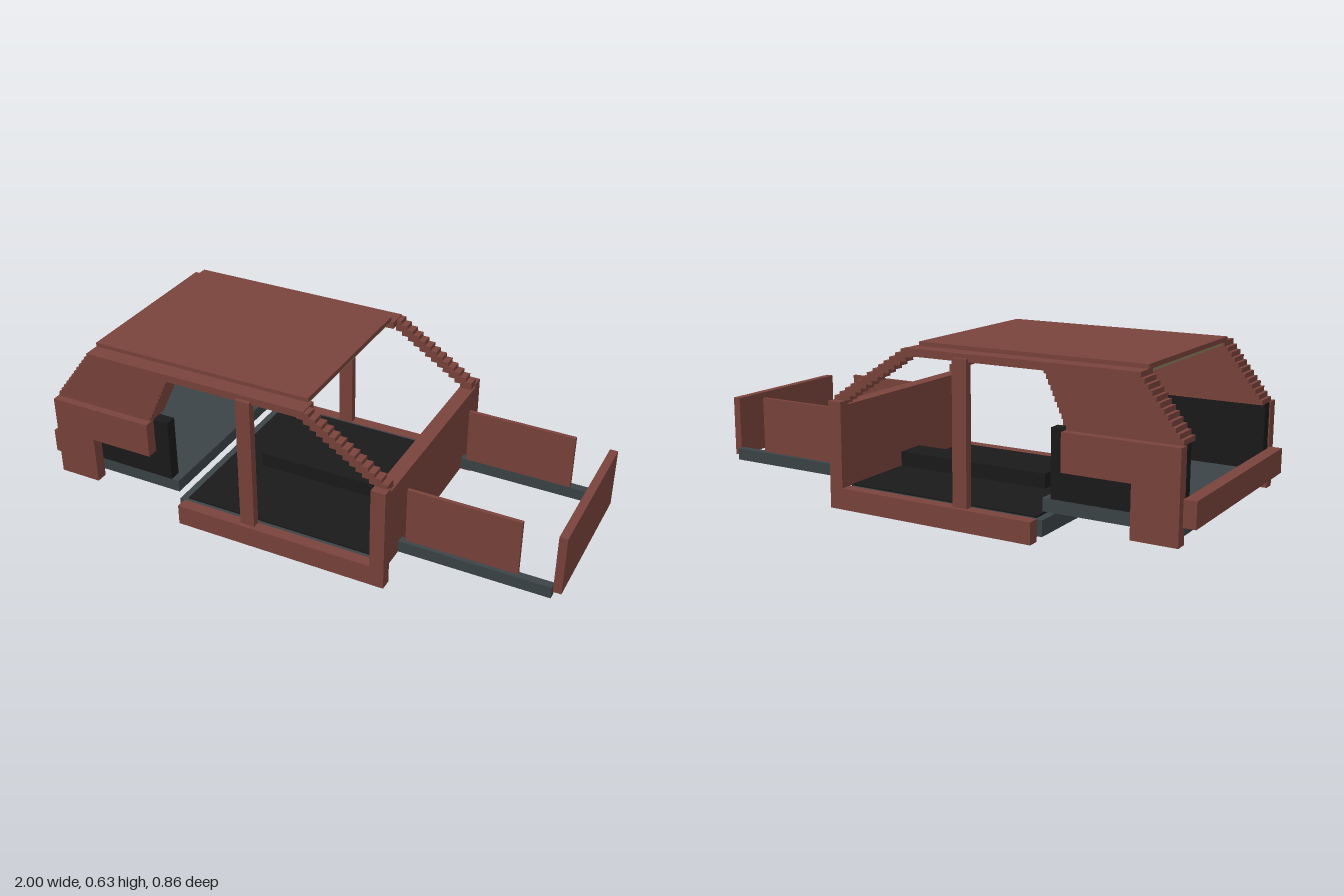
import * as THREE from 'three';

const mat = (color) => new THREE.MeshStandardMaterial({ color });

export function createModel() {
  const car = new THREE.Group();
  car.name = 'carBodyShell';
  const red = mat(0x7a443c), steel = mat(0x3c4447), black = mat(0x1a1a1a), tan = mat(0x8a8062);

  // Box from its limits on each axis
  function box(name, m, [x0, x1], [y0, y1], [z0, z1], parent = car) {
    const mesh = new THREE.Mesh(new THREE.BoxGeometry(x1 - x0, y1 - y0, z1 - z0), m);
    mesh.position.set((x0 + x1) / 2, (y0 + y1) / 2, (z0 + z1) / 2);
    mesh.name = name;
    parent.add(mesh);
  }
  // The same box on both sides of the body
  function pair(name, m, x, y, [z0, z1], parent) {
    box(name + 'Near', m, x, y, [z0, z1], parent);
    box(name + 'Far', m, x, y, [-z1, -z0], parent);
  }

  // Floor, carpet and tunnel
  box('floorPan', steel, [-0.45, 0.35], [0.02, 0.078], [-0.385, 0.385]);
  box('carpet', black, [-0.42, 0.358], [0.065, 0.084], [-0.37, 0.37]);
  box('tunnel', black, [-0.28, 0.355], [0.08, 0.14], [-0.06, 0.06]);
  box('trunkFloor', steel, [-0.955, -0.45], [0.11, 0.157], [-0.385, 0.385]);

  // Sills, firewall and door posts
  pair('sill', red, [-0.43, 0.41], [0, 0.08], [0.385, 0.43]);
  pair('frontPost', red, [0.355, 0.41], [0.08, 0.4], [0.385, 0.43]);
  box('firewall', red, [0.355, 0.41], [0.08, 0.385], [-0.385, 0.385]);
  pair('middlePillar', red, [-0.17, -0.113], [0.08, 0.6], [0.385, 0.415]);

  // Rear quarters, inner wheel housings and rear beam
  pair('quarterLower', red, [-0.955, -0.79], [0.08, 0.265], [0.385, 0.43]);
  pair('quarterUpper', red, [-0.955, -0.54], [0.265, 0.4], [0.385, 0.43]);
  pair('wheelHousing', black, [-0.95, -0.48], [0.157, 0.4], [0.34, 0.385]);
  box('rearBeam', red, [-1, -0.955], [0.14, 0.232], [-0.4, 0.4]);

  // Stepped windscreen pillars
  const frontPillars = new THREE.Group();
  frontPillars.name = 'windscreenPillars';
  car.add(frontPillars);
  for (let i = 0; i < 13; i++) {
    const x = 0.382 - i * 0.0248, y = 0.402 + i * 0.0163;
    pair('pillarStep', red, [x - 0.023, x + 0.023], [y - 0.014, y + 0.014], [0.355, 0.4], frontPillars);
  }

  // Stepped rear pillars, narrowing toward the roof
  const rearPillars = new THREE.Group();
  rearPillars.name = 'rearPillars';
  car.add(rearPillars);
  const rows = 12, h = 0.215 / rows;
  for (let i = 0; i < rows; i++) {
    const t = i / (rows - 1), y = 0.4 + i * h;
    pair('pillarRow', red, [-0.95 + 0.15 * t, -0.542 + 0.092 * t], [y, y + h], [0.31, 0.4], rearPillars);
  }

  // Roof, side rails and headliner
  box('roof', red, [-0.8, 0.073], [0.614, 0.631], [-0.338, 0.338]);
  box('headliner', tan, [-0.79, 0.065], [0.601, 0.614], [-0.325, 0.325]);
  pair('roofRail', red, [-0.8, 0.088], [0.588, 0.616], [0.325, 0.4]);

  // Front chassis rails, inner fenders and nose panel
  pair('chassisRail', steel, [0.41, 0.97], [0.08, 0.125], [0.278, 0.309]);
  pair('innerFender', red, [0.43, 0.845], [0.125, 0.34], [0.279, 0.293]);
  box('nosePanel', red, [0.97, 1], [0.095, 0.325], [-0.291, 0.291]);

  return car;
}
